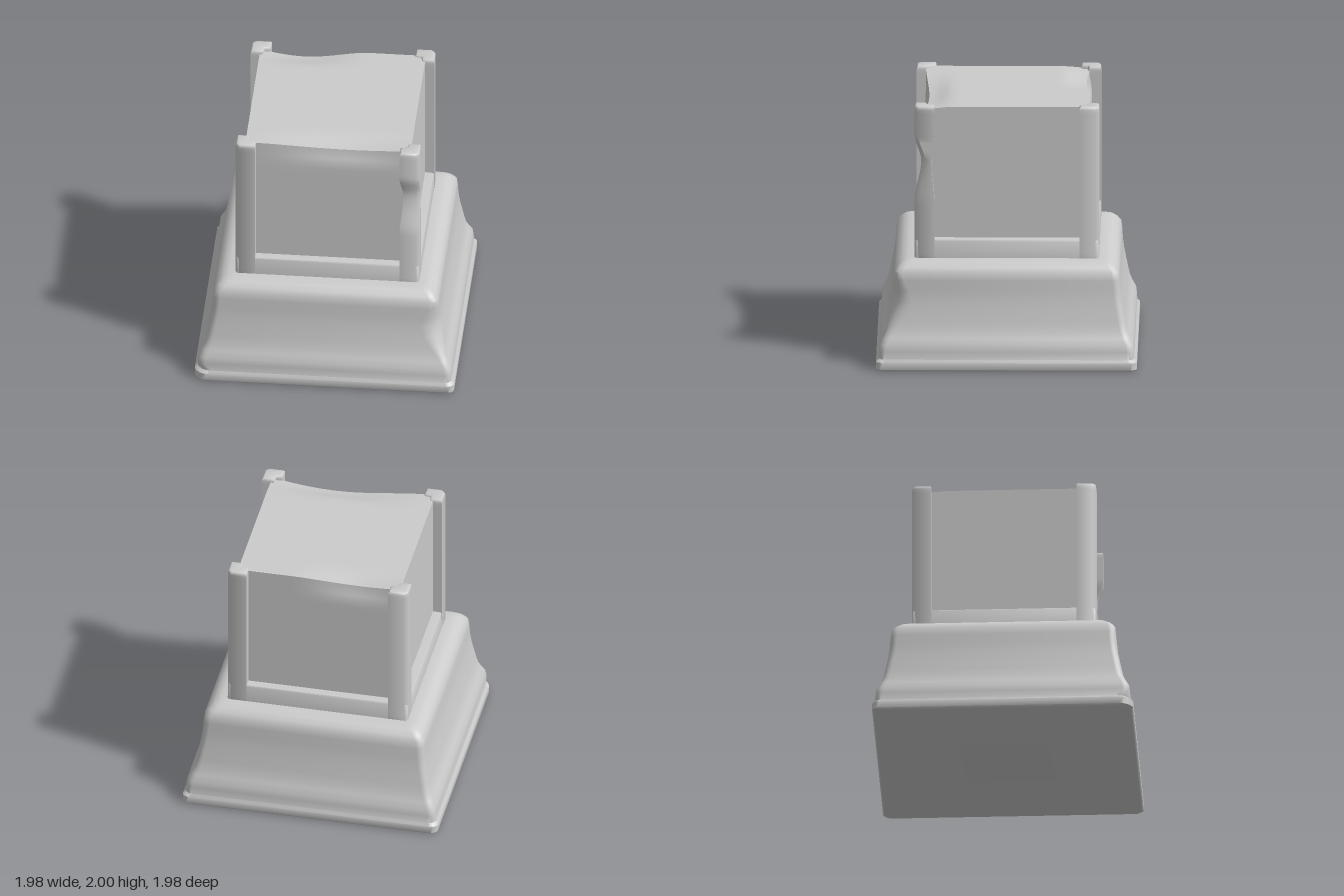
import * as THREE from 'three';
import { toCreasedNormals } from 'three/addons/utils/BufferGeometryUtils.js';

const stone = new THREE.MeshStandardMaterial({ color: 0xcccccc });

// smooth bump, 1 at the centre and 0 beyond the reach
const bump = (v, centre, reach) => {
  const t = Math.min(1, Math.abs(v - centre) / reach);
  return (1 - t * t) ** 2;
};

// stacks rounded squares of [half width, height]; radius(y, corner) sets the corner rounding
function squareLoft(levels, radius, steps = 5) {
  const pos = [], index = [], n = 4 * (steps + 1);
  for (const [h, y] of levels) {
    for (let c = 0; c < 4; c++) {
      const r = Math.min(h * 0.9, radius(y, c));
      const mid = (c + 0.5) * Math.PI / 2;
      const cx = Math.sign(Math.cos(mid)) * (h - r), cz = Math.sign(Math.sin(mid)) * (h - r);
      for (let s = 0; s <= steps; s++) {
        const a = (c + s / steps) * Math.PI / 2;
        pos.push(cx + r * Math.cos(a), y, cz + r * Math.sin(a));
      }
    }
  }
  for (let i = 0; i < levels.length - 1; i++) {
    for (let j = 0; j < n; j++) {
      const a = i * n + j, c = i * n + (j + 1) % n;
      index.push(a, a + n, c, c, a + n, c + n);
    }
  }
  const g = new THREE.BufferGeometry();
  g.setAttribute('position', new THREE.Float32BufferAttribute(pos, 3));
  g.setIndex(index);
  return g;
}

// moves every vertex by a rule
function reshape(g, rule) {
  const p = g.attributes.position, v = new THREE.Vector3();
  for (let i = 0; i < p.count; i++) {
    rule(v.fromBufferAttribute(p, i));
    p.setXYZ(i, v.x, v.y, v.z);
  }
  return g;
}

function part(name, geometry, crease = 0.8) {
  const mesh = new THREE.Mesh(toCreasedNormals(geometry, crease), stone);
  mesh.name = name;
  return mesh;
}

export function createModel() {
  const model = new THREE.Group();
  model.name = 'pedestal';

  // flared base, with one chipped edge and one blunt foot corner
  const baseProfile = [
    [0.001, 0], [0.975, 0], [0.99, 0.015], [0.99, 0.07], [0.97, 0.09], [0.967, 0.15], [0.96, 0.2],
    [0.935, 0.25], [0.915, 0.3], [0.9, 0.37], [0.887, 0.44], [0.872, 0.52], [0.862, 0.6],
    [0.857, 0.68], [0.85, 0.74], [0.825, 0.775], [0.79, 0.805], [0.75, 0.817], [0.69, 0.82], [0.001, 0.82],
  ];
  model.add(part('base', squareLoft(baseProfile, (y, c) => {
    if (c === 0) return 0.05 + 0.1 * bump(y, 0.5, 0.26);
    return c === 1 && y < 0.1 ? 0.1 : 0.055;
  })));

  // lower frame of the shaft, its top forming the ledge under the panels
  model.add(part('frameRail', squareLoft(
    [[0.7, 0.8], [0.697, 0.95], [0.69, 0.96], [0.6, 0.965], [0.001, 0.965]], () => 0.025)));

  // recessed block with worn front and back top edges
  const block = new THREE.BoxGeometry(1.26, 1.06, 1.26, 24, 20, 24);
  block.translate(0, 1.455, 0);
  reshape(block, (v) => {
    const top = THREE.MathUtils.smoothstep(v.y, 1.8, 1.985);
    const front = THREE.MathUtils.smoothstep(v.z, 0.4, 0.63) * bump(v.x, 0.15, 0.75);
    const back = THREE.MathUtils.smoothstep(-v.z, 0.4, 0.63) * bump(v.x, -0.3, 0.5);
    v.y -= top * (0.045 * front + 0.04 * back);
    v.z += top * (0.035 * back - 0.035 * front);
  });
  model.add(part('block', block));

  // L-shaped corner posts, the front left one dented
  const b = 0.015;
  const outline = new THREE.Shape([
    [0.55 + b, 0.62], [0.61, 0.61], [0.62, 0.55 + b], [0.7 - b, 0.55 + b],
    [0.7 - b, 0.665], [0.665, 0.7 - b], [0.55 + b, 0.7 - b],
  ].map(([x, y]) => new THREE.Vector2(x, y)));
  for (let i = 0; i < 4; i++) {
    const post = new THREE.ExtrudeGeometry(outline, {
      depth: 1.155, steps: 36, bevelThickness: 0.025, bevelSize: b, bevelSegments: 3,
    });
    post.rotateX(-Math.PI / 2).rotateY(-Math.PI / 2).translate(0, 0.82, 0);
    if (i === 0) {
      reshape(post, (v) => {
        const dent = bump(v.y, 1.57, v.y > 1.57 ? 0.2 : 0.32);
        if (v.z > 0.64) v.z -= 0.05 * dent;
        if (v.x < 0.6) v.x += 0.025 * dent;
        if (v.z < 0.6) v.z += 0.02 * dent;
      });
    }
    post.rotateY(i * Math.PI / 2);
    model.add(part('cornerPost' + (i + 1), post));
  }
  return model;
}
